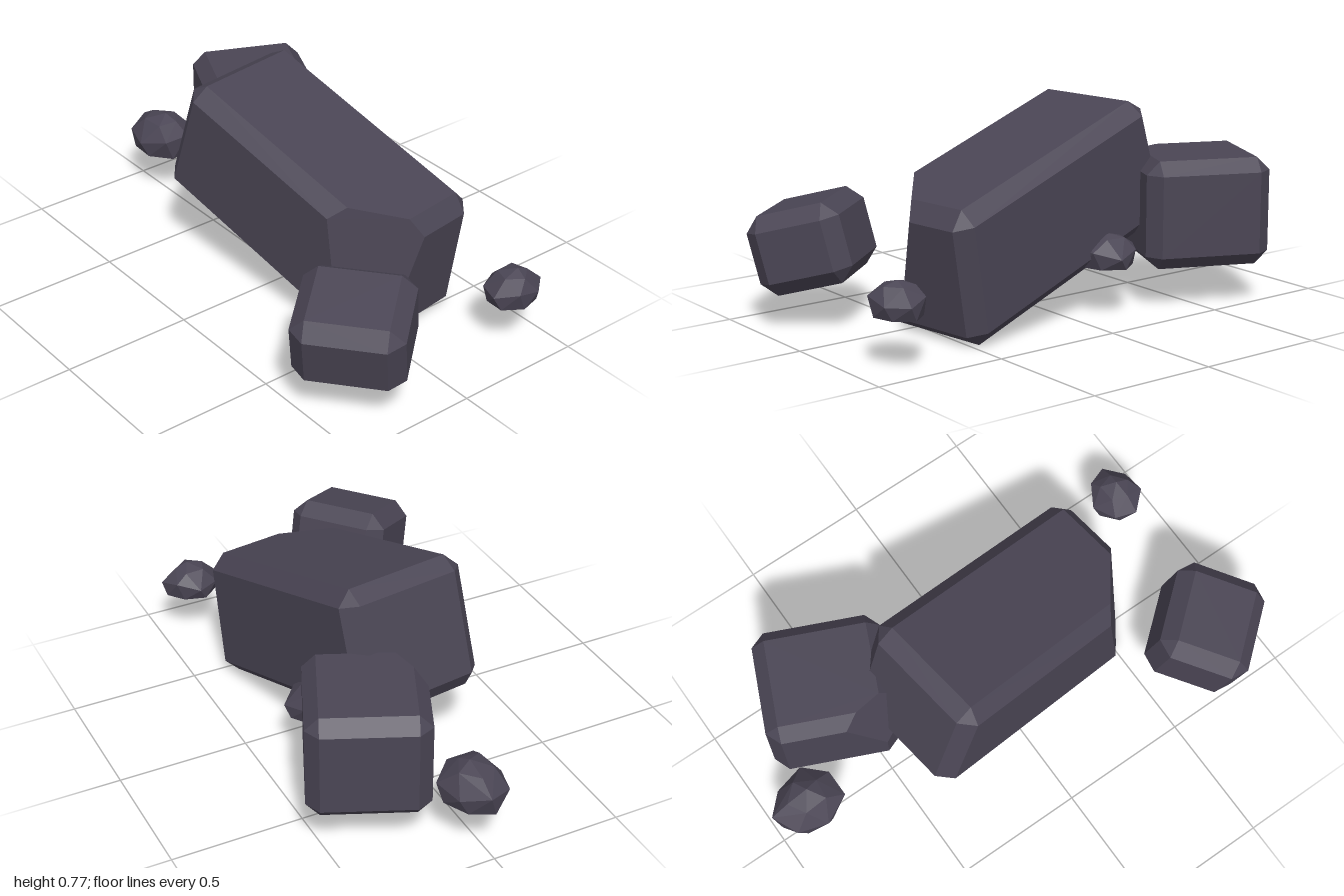
import * as THREE from 'three';
import { ConvexGeometry } from 'three/addons/geometries/ConvexGeometry.js';

const stone = new THREE.MeshStandardMaterial({ color: 0x4a4554, flatShading: true });
stone.name = 'dark stone';

// The 24 corners of a box whose edges are bevelled by c
function bevelledBox(hx, hy, hz, c) {
  const pts = [];
  for (const x of [-1, 1]) for (const y of [-1, 1]) for (const z of [-1, 1]) {
    pts.push(
      new THREE.Vector3(x * hx, y * (hy - c), z * (hz - c)),
      new THREE.Vector3(x * (hx - c), y * hy, z * (hz - c)),
      new THREE.Vector3(x * (hx - c), y * (hy - c), z * hz));
  }
  return pts;
}

// Chips a convex point set along the plane n.p = d
function chip(pts, nx, ny, nz, d) {
  const n = new THREE.Vector3(nx, ny, nz);
  const kept = pts.filter(p => n.dot(p) <= d);
  const lost = pts.filter(p => n.dot(p) > d);
  const cuts = [];
  for (const a of kept) for (const b of lost) {
    const da = n.dot(a) - d, db = n.dot(b) - d;
    cuts.push(a.clone().lerp(b, da / (da - db)));
  }
  return [...kept, ...cuts];
}

// A flat-bottomed dome of uneven rings
function pebblePoints(rx, h, rz, phase) {
  const pts = [new THREE.Vector3(rx * 0.1, h, -rz * 0.1)];
  const rings = [[7, 0, 0.88], [7, 0.45, 1], [5, 0.85, 0.55]];
  rings.forEach(([count, y, r], k) => {
    for (let i = 0; i < count; i++) {
      const a = phase + k * 0.25 + i / count * Math.PI * 2;
      const s = r * (1 + 0.07 * Math.sin(i * 2.6 + phase * 3));
      const lift = k === 1 ? 0.12 * Math.cos(i * 2.1 + phase) : 0;
      pts.push(new THREE.Vector3(rx * s * Math.cos(a), h * (y + lift), rz * s * Math.sin(a)));
    }
  });
  return pts;
}

export function createModel() {
  const group = new THREE.Group();
  group.name = 'rockPile';

  function addRock(name, pts, position, yaw = 0, tilt = 0) {
    const mesh = new THREE.Mesh(new ConvexGeometry(pts), stone);
    mesh.name = name;
    mesh.position.set(...position);
    mesh.rotation.set(0, yaw, tilt, 'YZX');
    group.add(mesh);
  }

  // Long leaning slab, sloped at its right end and chipped at the front corner
  const slab = bevelledBox(0.525, 0.25, 0.26, 0.055);
  for (const p of slab) if (p.x > 0) p.x -= 0.15 * p.y;
  addRock('leaningSlab', chip(slab, 0.222, 0.106, 0.234, 0.134), [0.09, 0.388, -0.063], 0.14, -0.31);

  // Upright block behind, chipped at one top corner
  const block = chip(bevelledBox(0.24, 0.205, 0.219, 0.05), 0.225, 0.153, 0.366, 0.115);
  addRock('backBlock', block, [-0.58, 0.355, -0.285], -0.42);

  // Tilted boulder in front
  addRock('frontBoulder', bevelledBox(0.18, 0.15, 0.2, 0.055), [0.752, 0.295, 0.309], -0.877, -0.25);

  // Small pebbles
  addRock('leftPebble', pebblePoints(0.14, 0.15, 0.122, 0.3), [-0.86, 0.18, -0.01]);
  addRock('backPebble', pebblePoints(0.12, 0.125, 0.12, 1.1), [-0.16, 0.18, -0.27]);
  addRock('rightPebble', pebblePoints(0.1, 0.125, 0.113, 2.0), [0.83, 0.18, -0.365]);

  return group;
}
